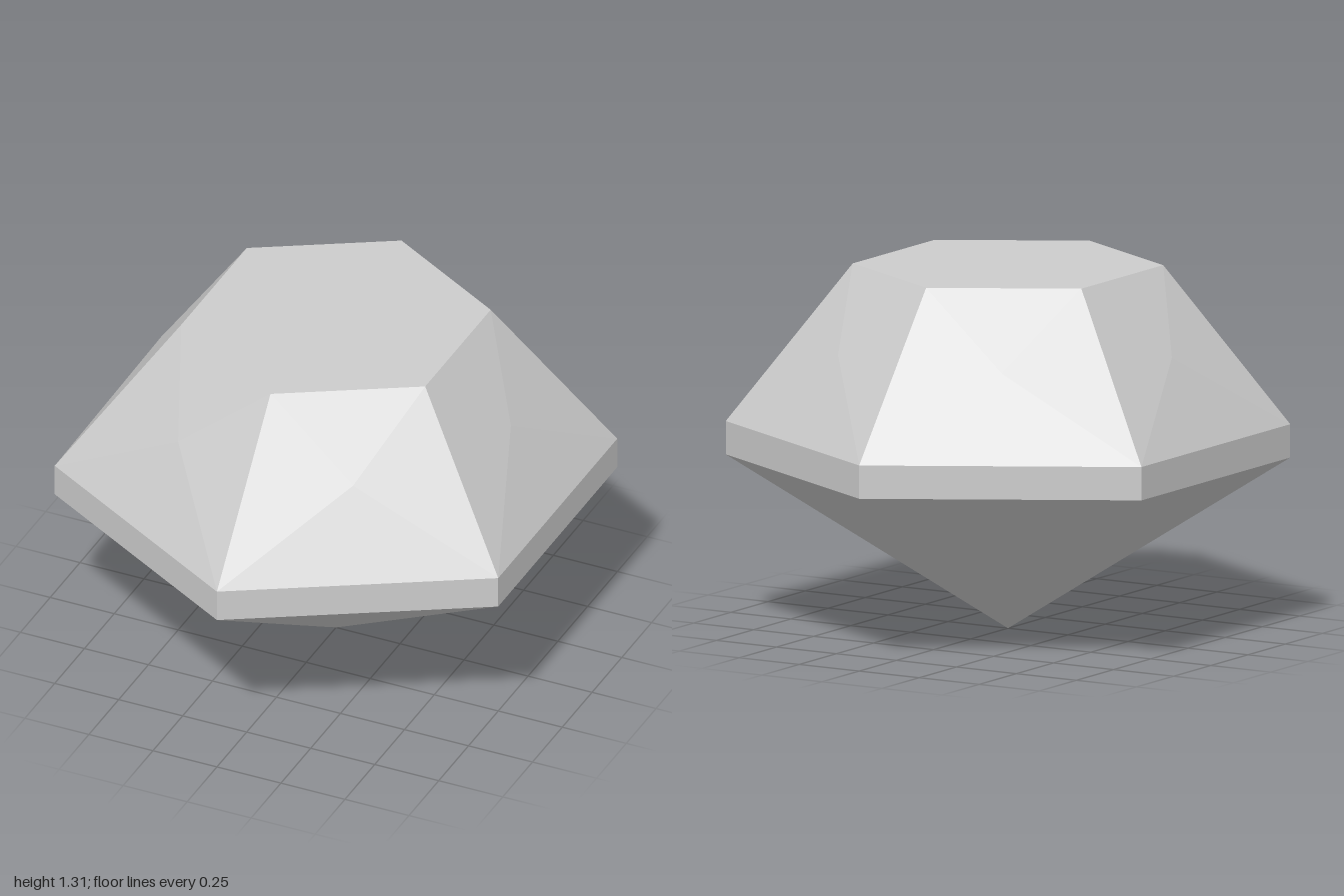
import * as THREE from 'three';

const SIDES = 6;
const Y_GIRDLE = 0.62, Y_CROWN = 0.74, Y_TOP = 1.31;
const R_GIRDLE = 1, R_TABLE = 0.55;

// Point on a ring around the y axis; turn counts facets, starting at +z
function ring(radius, y, turn) {
  const a = (turn / SIDES) * Math.PI * 2;
  return [radius * Math.sin(a), y, radius * Math.cos(a)];
}

// Slanted crown facet, slightly raised at its middle
function crownFacet(i) {
  const corners = [
    ring(R_GIRDLE, Y_CROWN, i), ring(R_GIRDLE, Y_CROWN, i + 1),
    ring(R_TABLE, Y_TOP, i + 1), ring(R_TABLE, Y_TOP, i),
  ];
  const middle = ring(0.683, 1.04, i + 0.5);
  const points = [];
  corners.forEach((c, k) => points.push(...c, ...corners[(k + 1) % 4], ...middle));
  const geometry = new THREE.BufferGeometry();
  geometry.setAttribute('position', new THREE.Float32BufferAttribute(points, 3));
  geometry.computeVertexNormals();
  return geometry;
}

export function createModel() {
  const group = new THREE.Group();
  group.name = 'gem';
  const stone = new THREE.MeshStandardMaterial({ color: 0xcccccc, flatShading: true });
  stone.name = 'pale grey stone';

  const add = (name, geometry, y = 0, parent = group) => {
    const mesh = new THREE.Mesh(geometry, stone);
    mesh.name = name;
    mesh.position.y = y;
    parent.add(mesh);
    return mesh;
  };

  // Pointed lower half
  add('pavilion', new THREE.CylinderGeometry(R_GIRDLE, 0, Y_GIRDLE, SIDES, 1, true), Y_GIRDLE / 2);

  // Upright band round the widest part
  add('girdle', new THREE.CylinderGeometry(R_GIRDLE, R_GIRDLE, Y_CROWN - Y_GIRDLE, SIDES, 1, true),
    (Y_GIRDLE + Y_CROWN) / 2);

  // Slanted upper facets
  const crown = new THREE.Group();
  crown.name = 'crown';
  group.add(crown);
  for (let i = 0; i < SIDES; i++) add('crownFacet' + (i + 1), crownFacet(i), 0, crown);

  // Flat top
  const table = new THREE.CircleGeometry(R_TABLE, SIDES, Math.PI / 2);
  table.rotateX(-Math.PI / 2);
  add('table', table, Y_TOP);

  return group;
}
